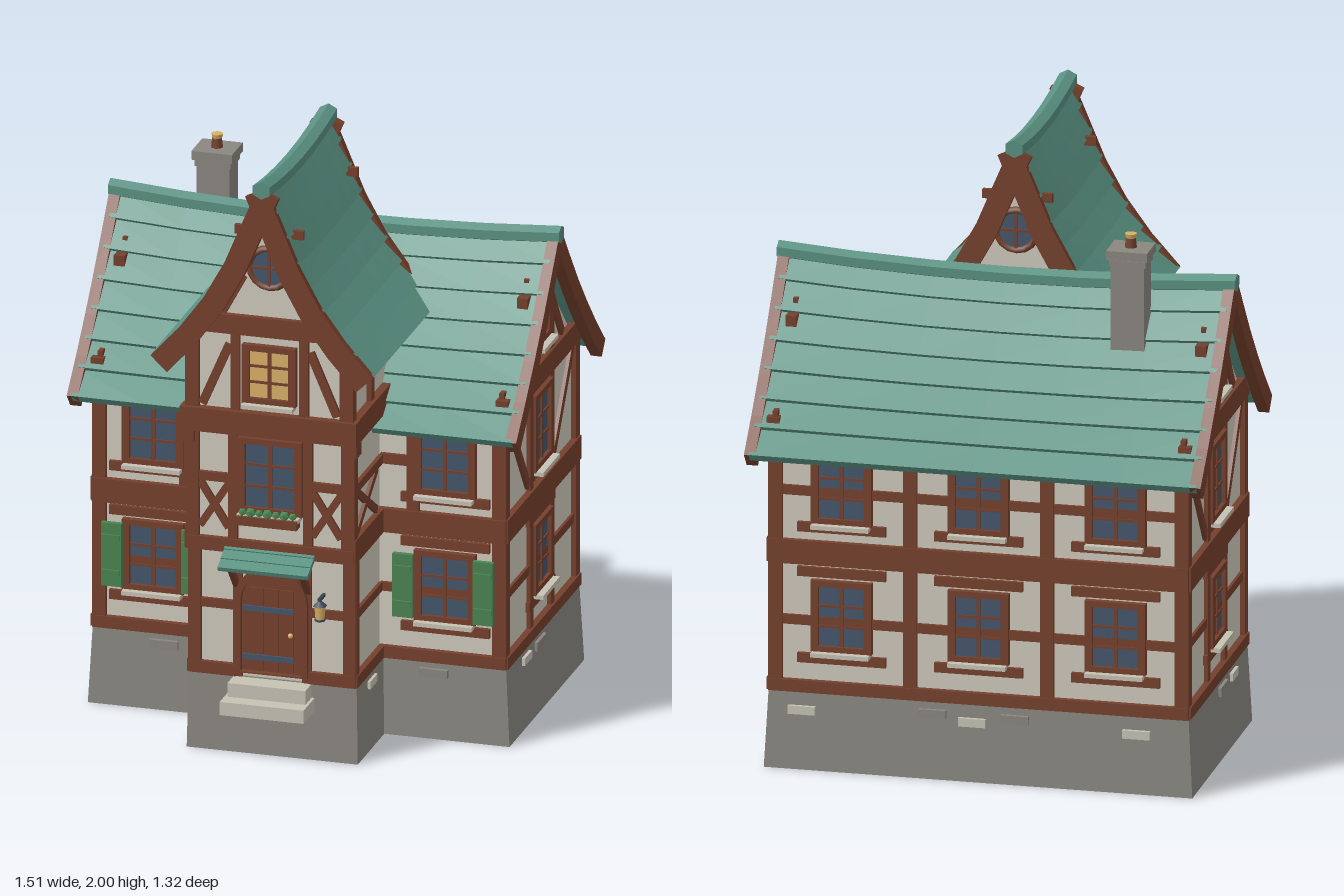
import * as THREE from 'three';

const mat = (name, color) => Object.assign(new THREE.MeshStandardMaterial({ color }), { name });
const M = {
  tile: mat('teal roof tile', 0x5a9182), wood: mat('brown timber', 0x75402c),
  plaster: mat('cream plaster', 0xcfc9bc), stone: mat('grey stone', 0x8a8780),
  pale: mat('pale stone', 0xc6c2b4), glass: mat('blue glass', 0x44566b),
  lit: mat('lit glass', 0xd8b066), green: mat('green paint', 0x4a8450), iron: mat('dark iron', 0x3c4650),
};
const openStone = mat('open grey stone', 0x8a8780);
openStone.side = THREE.DoubleSide;

function add(parent, name, geo, material, x = 0, y = 0, z = 0) {
  const m = new THREE.Mesh(geo, material);
  m.name = name;
  m.position.set(x, y, z);
  parent.add(m);
  return m;
}
function group(parent, name, x = 0, y = 0, z = 0, rotY = 0) {
  const g = new THREE.Group();
  g.name = name;
  g.position.set(x, y, z);
  g.rotation.y = rotY;
  parent.add(g);
  return g;
}
const box = (p, name, m, w, h, d, x, y, z) => add(p, name, new THREE.BoxGeometry(w, h, d), m, x, y, z);
// Timber on a wall group whose surface is local z = 0
const beam = (g, x0, x1, y0, y1, d = 0.016, name = 'beam') =>
  box(g, name, M.wood, Math.abs(x1 - x0), y1 - y0, d + 0.02, (x0 + x1) / 2, (y0 + y1) / 2, (d - 0.02) / 2);
function brace(g, x0, y0, x1, y1, w = 0.03, d = 0.012) {
  const b = box(g, 'brace', M.wood, Math.hypot(x1 - x0, y1 - y0), w, d, (x0 + x1) / 2, (y0 + y1) / 2, d / 2);
  b.rotation.z = Math.atan2(y1 - y0, x1 - x0);
}
// Closed solid through equal-sized rings, turned outward by its signed volume
function loft(rings) {
  const tris = [], n = rings[0].length, last = rings[rings.length - 1];
  for (let i = 0; i < rings.length - 1; i++) for (let j = 0; j < n; j++) {
    const k = (j + 1) % n, a = rings[i], b = rings[i + 1];
    tris.push([a[j], a[k], b[k]], [a[j], b[k], b[j]]);
  }
  for (let j = 1; j < n - 1; j++) tris.push([rings[0][0], rings[0][j + 1], rings[0][j]], [last[0], last[j], last[j + 1]]);
  const v = (p) => new THREE.Vector3(...p), c = v(rings[0][0]);
  const vol = tris.reduce((s, t) => s + v(t[0]).sub(c).dot(v(t[1]).sub(c).cross(v(t[2]).sub(c))), 0);
  const geo = new THREE.BufferGeometry();
  const data = tris.flatMap((t) => (vol < 0 ? [t[0], t[2], t[1]] : t)).flat();
  geo.setAttribute('position', new THREE.Float32BufferAttribute(data, 3));
  geo.computeVertexNormals();
  return geo;
}
// Curved, sagging tile roof; ridge runs along local z
function roof(parent, name, profile, half, rows, sag, barge, pos, rotY) {
  const g = group(parent, name, ...pos, rotY);
  const curve = new THREE.CatmullRomCurve3(profile.map(([d, y]) => new THREE.Vector3(d, y, 0)));
  const top = profile[0][1], low = profile[profile.length - 1][1];
  const at = (u, off) => {
    const p = curve.getPointAt(u), t = curve.getTangentAt(u);
    return [p.x - t.y * off, p.y + t.x * off];
  };
  const place = ([d, y], t, s) => [s * d, y + sag * t * t * (y - low) / (top - low), t * half];
  const stations = [-1, -0.67, -0.33, 0, 0.33, 0.67, 1];
  for (const s of [-1, 1]) {
    for (let i = 0; i < rows; i++) {
      const a = i / rows, b = (i + 1) / rows;
      const sec = [at(a, 0), at(b, 0.016), at(b, -0.016), at(a, -0.016)];
      add(g, 'tileRow', loft(stations.map((t) => sec.map((q) => place(q, t, s)))), M.tile);
    }
    for (const e of [-1, 1]) {
      const rings = [0, 0.2, 0.4, 0.6, 0.8, 1].map((u) => [[-barge, 0.97], [0.014, 0.97], [0.014, 1 + 0.015 / half], [-barge, 1 + 0.015 / half]]
        .map(([o, t]) => place(at(u, o), t * e, s)));
      add(g, 'bargeBoard', loft(rings), M.wood);
    }
  }
  const ends = stations.map((t) => t * (1 + 0.018 / half));
  add(g, 'ridgeCap', loft(ends.map((t) => [0, 1, 2, 3, 4, 5].map((k) => {
    const p = place([0, top], t, 1), a = k * Math.PI / 3 + Math.PI / 6;
    return [Math.cos(a) * 0.033, p[1] + Math.sin(a) * 0.03, p[2]];
  }))), M.tile);
  return g;
}
function windowUnit(wall, x, y, w, h, glass = M.glass, boards = []) {
  const g = group(wall, 'window', x, y, 0);
  box(g, 'pane', glass, w, h, 0.008, 0, 0, 0.005);
  for (const s of [-1, 1]) {
    beam(g, s * w / 2, s * (w / 2 + 0.025), -h / 2 - 0.02, h / 2 + 0.02, 0.022, 'frame');
    beam(g, -w / 2, w / 2, s > 0 ? h / 2 : -h / 2 - 0.02, s > 0 ? h / 2 + 0.02 : -h / 2, 0.022, 'frame');
  }
  beam(g, -0.006, 0.006, -h / 2, h / 2, 0.015, 'mullion');
  for (const k of [-0.17, 0.17]) beam(g, -w / 2, w / 2, k * h - 0.004, k * h + 0.004, 0.014, 'mullion');
  box(g, 'sill', M.pale, w + 0.04, 0.014, 0.05, 0, -h / 2 - 0.025, 0.02);
  for (const b of boards) beam(g, -w / 2 - 0.07, w / 2 + 0.07, b - 0.016, b + 0.016, 0.014, 'board');
}
function roundWindow(wall, y) {
  const g = group(wall, 'roundWindow', 0, y, 0.008);
  add(g, 'ring', new THREE.TorusGeometry(0.067, 0.012, 6, 16), M.wood);
  add(g, 'pane', new THREE.CylinderGeometry(0.064, 0.064, 0.008, 16).rotateX(Math.PI / 2), M.glass);
  beam(g, -0.004, 0.004, -0.06, 0.06, 0.01, 'mullion');
  beam(g, -0.06, 0.06, -0.004, 0.004, 0.01, 'mullion');
}
function prism(points, depth) {
  return new THREE.ExtrudeGeometry(new THREE.Shape(points.map((p) => new THREE.Vector2(...p))), { depth, bevelEnabled: false });
}
// Open-bottomed tapered stone base
function plinth(parent, w, d, z) {
  const geo = new THREE.CylinderGeometry(Math.SQRT1_2, Math.SQRT1_2 * 1.02, 0.26, 4, 1, true).rotateY(Math.PI / 4).toNonIndexed();
  geo.scale(w, 1, d).computeVertexNormals();
  add(parent, 'plinth', geo, openStone, 0, 0.13, z);
  box(parent, 'plinthTop', M.stone, w, 0.01, d, 0, 0.255, z);
}
function arch(w, y0, spring) {
  const s = new THREE.Shape().moveTo(-w, y0).lineTo(w, y0).lineTo(w, spring);
  return s.absarc(0, spring, w, 0, Math.PI, false).lineTo(-w, y0);
}

export function createModel() {
  const house = new THREE.Group();
  house.name = 'timberHouse';
  plinth(house, 1.38, 0.81, -0.165);
  plinth(house, 0.56, 0.57, 0.25);

  // Plaster walls: gabled main block, and a wing stepping out at each floor
  add(house, 'mainWalls', prism([[-0.395, 0.26], [0.395, 0.26], [0.395, 1.1], [0.19, 1.31], [0, 1.53], [-0.19, 1.31], [-0.395, 1.1]], 1.35)
    .translate(0, 0, -0.675).rotateY(Math.PI / 2), M.plaster, 0, 0, -0.165);
  box(house, 'wingGroundFloor', M.plaster, 0.53, 0.47, 0.43, 0, 0.495, 0.315);
  box(house, 'wingUpperFloor', M.plaster, 0.53, 0.45, 0.45, 0, 0.955, 0.325);
  add(house, 'wingGable', prism([[-0.265, 1.16], [0.265, 1.16], [0.265, 1.41], [0.13, 1.6], [0, 1.86], [-0.13, 1.6], [-0.265, 1.41]], 0.6), M.plaster, 0, 0, -0.04);

  // Main roof and steep wing roof, with pegs
  roof(house, 'mainRoof', [[0, 1.575], [0.2, 1.34], [0.36, 1.175], [0.485, 1.06]], 0.735, 7, 0.03, 0.045, [0, 0, -0.165], Math.PI / 2);
  roof(house, 'wingRoof', [[0, 1.945], [0.06, 1.81], [0.12, 1.675], [0.22, 1.515], [0.36, 1.36]], 0.355, 8, 0.025, 0.06, [0, 0, 0.29], 0);
  for (const s of [-1, 1]) {
    for (const [y, z] of [[1.47, -0.065], [1.18, 0.21], [1.47, -0.27], [1.18, -0.55]]) box(house, 'roofPeg', M.wood, 0.016, 0.03, 0.03, s * 0.67, y, z);
    for (const z of [-0.03, 0.57]) box(house, 'roofPeg', M.wood, 0.06, 0.03, 0.016, s * 0.085, 1.8, z);
  }

  // Main front, both sides of the wing
  const front = group(house, 'mainFront', 0, 0, 0.23);
  for (const s of [-1, 1]) {
    beam(front, s * 0.645, s * 0.69, 0.26, 1.1);
    beam(front, s * 0.36, s * 0.4, 0.77, 1.1);
    beam(front, s * 0.26, s * 0.69, 0.26, 0.3, 0.02);
    beam(front, s * 0.26, s * 0.69, 0.69, 0.77, 0.022);
    beam(front, s * 0.26, s * 0.69, 1.06, 1.1);
    beam(front, s * 0.27, s * 0.38, 0.92, 0.955, 0.012);
    beam(front, s * 0.27, s * 0.67, 0.485, 0.515, 0.01);
    windowUnit(front, s * 0.487, 0.52, 0.155, 0.2, M.glass, [0.145, -0.145]);
    windowUnit(front, s * 0.487, 0.95, 0.155, 0.2, M.glass, [-0.135]);
    for (const x of [0.352, 0.62]) {
      box(front, 'shutter', M.green, 0.068, 0.215, 0.018, s * x, 0.52, 0.03);
      for (const y of [0.46, 0.58]) box(front, 'shutterBar', M.green, 0.06, 0.02, 0.01, s * x, y, 0.042);
    }
  }

  // Main back, three windows on each floor
  const back = group(house, 'mainBack', 0, 0, -0.56, Math.PI);
  for (const [y0, y1] of [[0.26, 0.3], [0.69, 0.77], [1.06, 1.1]]) beam(back, -0.69, 0.69, y0, y1, 0.02);
  for (const x of [-0.667, -0.225, 0.225, 0.667]) beam(back, x - 0.022, x + 0.022, 0.26, 1.1);
  for (const y of [0.5, 0.935]) beam(back, -0.667, 0.667, y - 0.016, y + 0.016, 0.01);
  for (const x of [-0.45, 0, 0.45]) {
    windowUnit(back, x, 0.52, 0.15, 0.2, M.glass, [0.145, -0.145]);
    windowUnit(back, x, 0.95, 0.15, 0.2, M.glass, [-0.135]);
  }

  for (const s of [-1, 1]) {
    // Main gable ends
    const end = group(house, 'gableEnd', s * 0.675, 0, -0.165, s * Math.PI / 2);
    for (const [y0, y1] of [[0.26, 0.3], [0.69, 0.77], [1.1, 1.175]]) beam(end, -0.405, 0.405, y0, y1, 0.022);
    beam(end, -0.4, 0.4, 0.485, 0.515, 0.01);
    for (const k of [-1, 1]) {
      beam(end, k * 0.365, k * 0.41, 0.26, 1.1);
      beam(end, k * 0.097, k * 0.132, 0.26, 1.4, 0.014);
      brace(end, k * 0.35, 1.09, k * 0.135, 0.79);
      brace(end, k * 0.24, 1.18, k * 0.13, 1.34);
    }
    beam(end, -0.17, 0.17, 1.405, 1.44);
    windowUnit(end, 0, 0.52, 0.145, 0.2, M.glass, [0.145, -0.145]);
    windowUnit(end, 0, 0.95, 0.145, 0.22, M.glass, [-0.145]);
    windowUnit(end, 0, 1.325, 0.11, 0.14);

    // Wing side walls; local x measured from z
    const side = group(house, 'wingSide', s * 0.265, 0, 0, s * Math.PI / 2), X = (z) => -s * z;
    beam(side, X(0.23), X(0.54), 0.26, 0.3, 0.02);
    beam(side, X(0.23), X(0.565), 0.69, 0.77, 0.02);
    beam(side, X(0.1), X(0.59), 1.1, 1.18, 0.028);
    beam(side, X(0.505), X(0.542), 0.28, 0.7);
    beam(side, X(0.525), X(0.562), 0.76, 1.12);
    beam(side, X(0.54), X(0.577), 1.18, 1.42);
    beam(side, X(0.34), X(0.375), 1.18, 1.42);
    beam(side, X(0.1), X(0.56), 1.3, 1.33, 0.012);
    beam(side, X(0.24), X(0.53), 0.485, 0.515, 0.012);
    beam(side, X(0.24), X(0.54), 0.92, 0.95, 0.014);
    brace(side, X(0.29), 0.78, X(0.51), 0.92, 0.025);
    brace(side, X(0.29), 0.92, X(0.51), 0.78, 0.025);
  }

  // Wing front: ground floor, upper floor, gable
  const g0 = group(house, 'wingGroundFront', 0, 0, 0.53), g1 = group(house, 'wingUpperFront', 0, 0, 0.55);
  const g2 = group(house, 'wingGableFront', 0, 0, 0.56), gb = group(house, 'wingGableBack', 0, 0, -0.04, Math.PI);
  beam(g1, -0.28, 0.28, 0.69, 0.735, 0.02);
  beam(g2, -0.295, 0.295, 1.1, 1.18, 0.03);
  beam(g2, -0.22, 0.22, 1.44, 1.505, 0.02);
  beam(gb, -0.2, 0.2, 1.5, 1.55, 0.014);
  for (const s of [-1, 1]) {
    beam(g0, s * 0.238, s * 0.28, 0.26, 0.7);
    beam(g0, s * 0.1, s * 0.13, 0.26, 0.7, 0.014);
    beam(g0, s * 0.12, s * 0.27, 0.26, 0.3, 0.018);
    beam(g0, s * 0.12, s * 0.24, 0.485, 0.515, 0.012);
    beam(g1, s * 0.238, s * 0.28, 0.73, 1.1);
    beam(g1, s * 0.11, s * 0.14, 0.73, 1.1, 0.014);
    beam(g1, s * 0.13, s * 0.25, 0.925, 0.955, 0.014);
    brace(g1, s * 0.235, 0.77, s * 0.14, 0.92, 0.024);
    brace(g1, s * 0.235, 0.92, s * 0.14, 0.77, 0.024);
    beam(g1, s * 0.25, s * 0.295, 1.06, 1.1, 0.035, 'corbel');
    beam(g2, s * 0.235, s * 0.278, 1.18, 1.42);
    beam(g2, s * 0.1, s * 0.13, 1.18, 1.45, 0.014);
    brace(g2, s * 0.225, 1.19, s * 0.135, 1.4, 0.028);
    brace(g2, s * 0.16, 1.51, s * 0.09, 1.64, 0.03);
  }
  windowUnit(g1, 0, 0.96, 0.165, 0.215);
  windowUnit(g2, 0, 1.31, 0.13, 0.16, M.lit);
  roundWindow(g2, 1.675);
  roundWindow(gb, 1.69);

  // Flower box
  box(g1, 'flowerBox', M.wood, 0.2, 0.03, 0.04, 0, 0.815, 0.035);
  for (let i = 0; i < 7; i++) add(g1, 'plant', new THREE.IcosahedronGeometry(0.014 + 0.004 * (i % 2), 0), M.green, -0.085 + i * 0.028, 0.84, 0.038);

  // Arched door with hinges and knob
  const frame = arch(0.122, 0.28, 0.525);
  frame.holes.push(arch(0.1, 0.285, 0.525));
  add(g0, 'doorFrame', new THREE.ExtrudeGeometry(frame, { depth: 0.03, bevelEnabled: false }), M.wood);
  add(g0, 'door', new THREE.ExtrudeGeometry(arch(0.1, 0.28, 0.525), { depth: 0.012, bevelEnabled: false }), M.wood);
  for (const x of [-0.05, 0, 0.05]) box(g0, 'doorPlank', M.wood, 0.044, 0.28, 0.008, x, 0.43, 0.014);
  for (const y of [0.335, 0.5]) box(g0, 'hinge', M.glass, 0.17, 0.018, 0.008, -0.01, y, 0.02);
  add(g0, 'knob', new THREE.SphereGeometry(0.009, 8, 6), M.lit, 0.065, 0.42, 0.024);

  // Steps, awning and lantern
  box(house, 'upperStep', M.pale, 0.26, 0.05, 0.08, 0, 0.232, 0.565);
  box(house, 'lowerStep', M.pale, 0.28, 0.045, 0.13, 0, 0.188, 0.593);
  const awning = group(house, 'awning', 0, 0.685, 0.588);
  awning.rotation.x = 0.4;
  for (let i = 0; i < 3; i++) box(awning, 'awningTile', M.tile, 0.3, 0.016, 0.05, 0, 0.008 - i * 0.004, -0.04 + i * 0.04);
  for (const s of [-1, 1]) {
    box(house, 'awningArm', M.wood, 0.018, 0.018, 0.09, s * 0.12, 0.655, 0.575);
    box(house, 'awningStrut', M.wood, 0.018, 0.12, 0.018, s * 0.12, 0.615, 0.575).rotation.x = 0.7;
  }
  const lantern = group(house, 'lantern', 0.17, 0.52, 0.575);
  box(lantern, 'bracket', M.iron, 0.01, 0.01, 0.06, 0, 0.045, -0.02);
  add(lantern, 'lamp', new THREE.CylinderGeometry(0.019, 0.015, 0.045, 6), M.lit);
  add(lantern, 'cap', new THREE.CylinderGeometry(0.004, 0.024, 0.018, 6), M.iron, 0, 0.031, 0);
  add(lantern, 'foot', new THREE.CylinderGeometry(0.018, 0.018, 0.006, 6), M.iron, 0, -0.025, 0);

  // Chimney
  const chimney = group(house, 'chimney', -0.43, 0, -0.275);
  box(chimney, 'shaft', M.stone, 0.11, 0.45, 0.095, 0, 1.485, 0);
  box(chimney, 'cap', M.stone, 0.135, 0.03, 0.12, 0, 1.723, 0);
  box(chimney, 'collar', M.stone, 0.12, 0.02, 0.105, 0, 1.695, 0);
  add(chimney, 'pot', new THREE.CylinderGeometry(0.016, 0.02, 0.035, 8), M.wood, 0, 1.755, 0);
  add(chimney, 'potRim', new THREE.CylinderGeometry(0.02, 0.016, 0.016, 8), M.lit, 0, 1.776, 0);

  // Scattered stones on the base
  for (const s of [-1, 1]) {
    box(house, 'baseStone', M.stone, 0.095, 0.028, 0.024, s * 0.45, 0.225, 0.242);
    box(house, 'baseStone', M.pale, 0.024, 0.026, 0.08, s * 0.278, 0.225, 0.375);
    box(house, 'baseStone', M.pale, 0.024, 0.026, 0.08, s * 0.69, 0.225, 0.03);
    box(house, 'baseStone', M.stone, 0.024, 0.03, 0.1, s * 0.69, 0.225, -0.12);
  }
  [-0.52, -0.12, 0.02, 0.15, 0.58].forEach((x, i) => box(house, 'baseStone', i % 2 ? M.stone : M.pale, 0.09, 0.028, 0.024, x, 0.2 + 0.02 * (i % 2), -0.572));
  return house;
}
